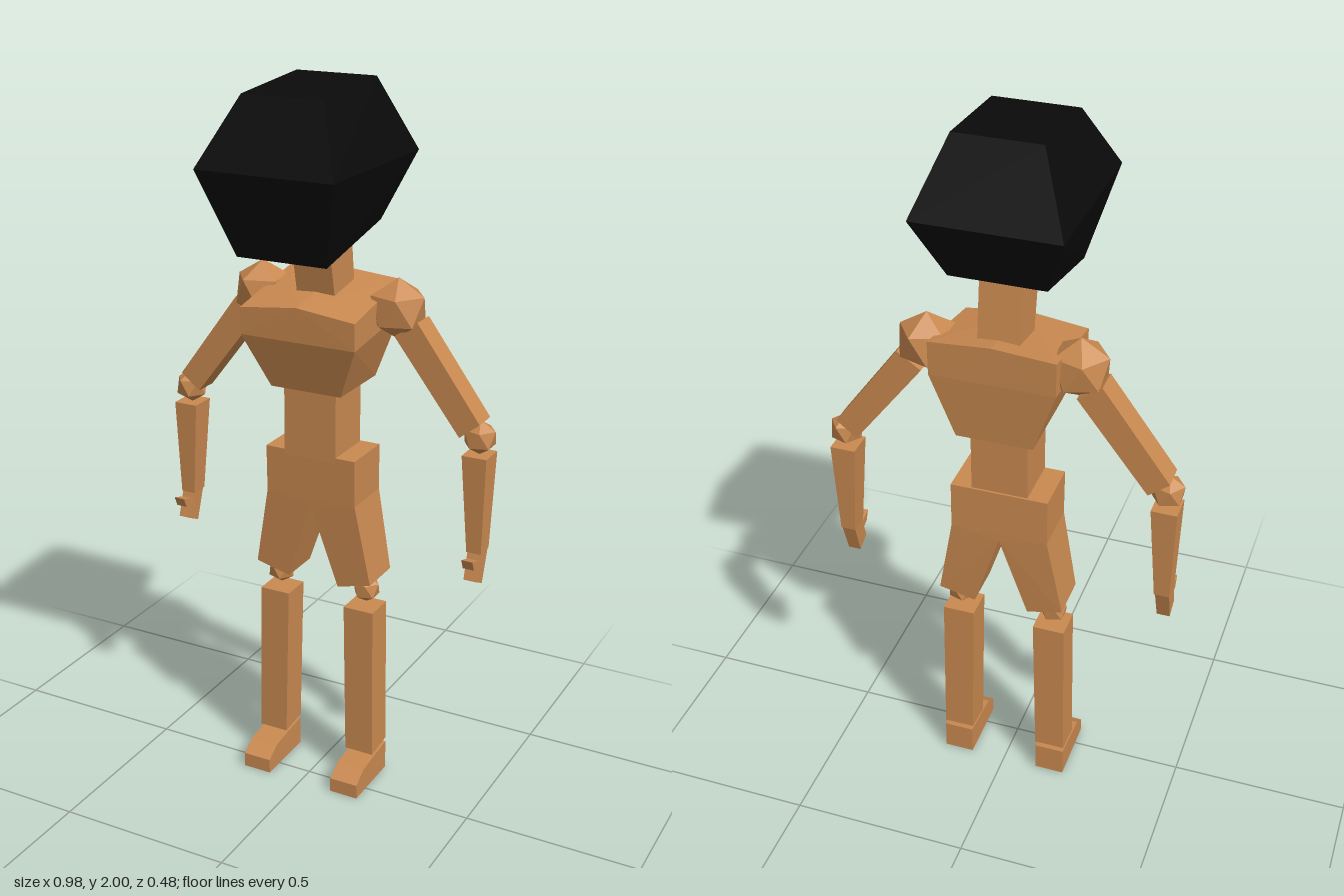
import * as THREE from 'three';
import { ConvexGeometry } from 'three/addons/geometries/ConvexGeometry.js';

const wood = new THREE.MeshStandardMaterial({ color: 0xc98950, flatShading: true });
const black = new THREE.MeshStandardMaterial({ color: 0x0a0a0a, flatShading: true });

// Four corners of a section: x range, front and back z, height at front and back
const ring = (x0, x1, zf, zb, yf, yb = yf) => [
  [x0, yf, zf], [x1, yf, zf], [x1, yb, zb], [x0, yb, zb],
];

export function createModel() {
  const model = new THREE.Group();
  model.name = 'mannequin';

  const add = (name, geometry, material = wood) => {
    const mesh = new THREE.Mesh(geometry, material);
    mesh.name = name;
    model.add(mesh);
    return mesh;
  };

  // Faceted solid spanning its sections; side = -1 mirrors it in x
  const solid = (name, sections, side = 1, material = wood) =>
    add(name, new ConvexGeometry(
      sections.flat().map(([x, y, z]) => new THREE.Vector3(x * side, y, z))), material);

  // Ball joint with a vertex straight up and one pointing outward
  const joint = (name, x, y, z, r, side) => {
    const g = new THREE.IcosahedronGeometry(r, 0);
    g.rotateX(-Math.atan((1 + Math.sqrt(5)) / 2));
    g.rotateY(side * Math.PI / 2);
    add(name, g).position.set(x * side, y, z);
  };

  // Head and neck
  solid('head', [
    ring(-0.115, 0.115, 0.14, -0.145, 1.977, 2.0),
    ring(-0.193, 0.193, 0.243, -0.241, 1.802, 1.806),
    ring(-0.128, 0.128, 0.15, -0.155, 1.57, 1.632),
  ], 1, black);
  solid('neck', [
    ring(-0.056, 0.056, 0.005, -0.122, 1.63, 1.66),
    ring(-0.056, 0.056, -0.037, -0.152, 1.43),
  ]);

  // Trunk
  solid('chest', [
    ring(-0.168, 0.168, 0.072, -0.204, 1.413, 1.465),
    [[0, 1.433, 0.074], [0, 1.478, -0.205]],
    ring(-0.168, 0.168, 0.07, -0.203, 1.338, 1.37),
    ring(-0.104, 0.104, 0.022, -0.188, 1.19),
  ]);
  solid('waist', [
    ring(-0.078, 0.078, -0.002, -0.15, 1.2),
    ring(-0.078, 0.078, -0.002, -0.15, 0.99),
  ]);
  solid('pelvis', [
    ring(-0.135, 0.135, -0.002, -0.156, 1.005),
    ring(-0.135, 0.135, -0.006, -0.158, 0.87),
  ]);

  for (const s of [1, -1]) {
    const label = s > 0 ? 'left' : 'right';

    // Leg
    solid(label + 'Thigh', [
      ring(0, 0.135, -0.006, -0.158, 0.872),
      [[0, 0.85, -0.007], [0, 0.85, -0.158]],
      [[0.178, 0.64, -0.02], [0.178, 0.64, -0.15], [0.077, 0.614, -0.022], [0.077, 0.614, -0.147]],
    ], s);
    joint(label + 'Knee', 0.136, 0.596, -0.087, 0.041, s);
    solid(label + 'Shin', [
      ring(0.088, 0.178, -0.039, -0.128, 0.545),
      ring(0.098, 0.184, -0.039, -0.128, 0.09, 0.1),
    ], s);
    solid(label + 'Foot', [
      ring(0.1, 0.184, 0.06, -0.13, 0),
      ring(0.1, 0.184, 0.06, 0.018, 0.042, 0.07),
      ring(0.1, 0.184, -0.04, -0.13, 0.078, 0.086),
    ], s);

    // Arm
    joint(label + 'Shoulder', 0.203, 1.413, -0.113, 0.083, s);
    solid(label + 'UpperArm', [-0.083, -0.156].map((z) => [
      [0.272, 1.39, z], [0.207, 1.345, z], [0.4, 1.095, z], [0.456, 1.14, z],
    ]), s);
    joint(label + 'Elbow', 0.445, 1.094, -0.118, 0.048, s);
    solid(label + 'Forearm', [
      ring(0.41, 0.48, -0.08, -0.156, 1.048),
      ring(0.43, 0.472, -0.09, -0.145, 0.77),
    ], s);
    solid(label + 'Hand', [
      ring(0.432, 0.471, -0.095, -0.143, 0.775),
      ring(0.434, 0.47, -0.068, -0.112, 0.698, 0.677),
    ], s);
    solid(label + 'Thumb', [
      ring(0.436, 0.468, -0.042, -0.055, 0.767, 0.738),
      ring(0.436, 0.468, -0.098, -0.105, 0.75, 0.72),
    ], s);
  }
  return model;
}
